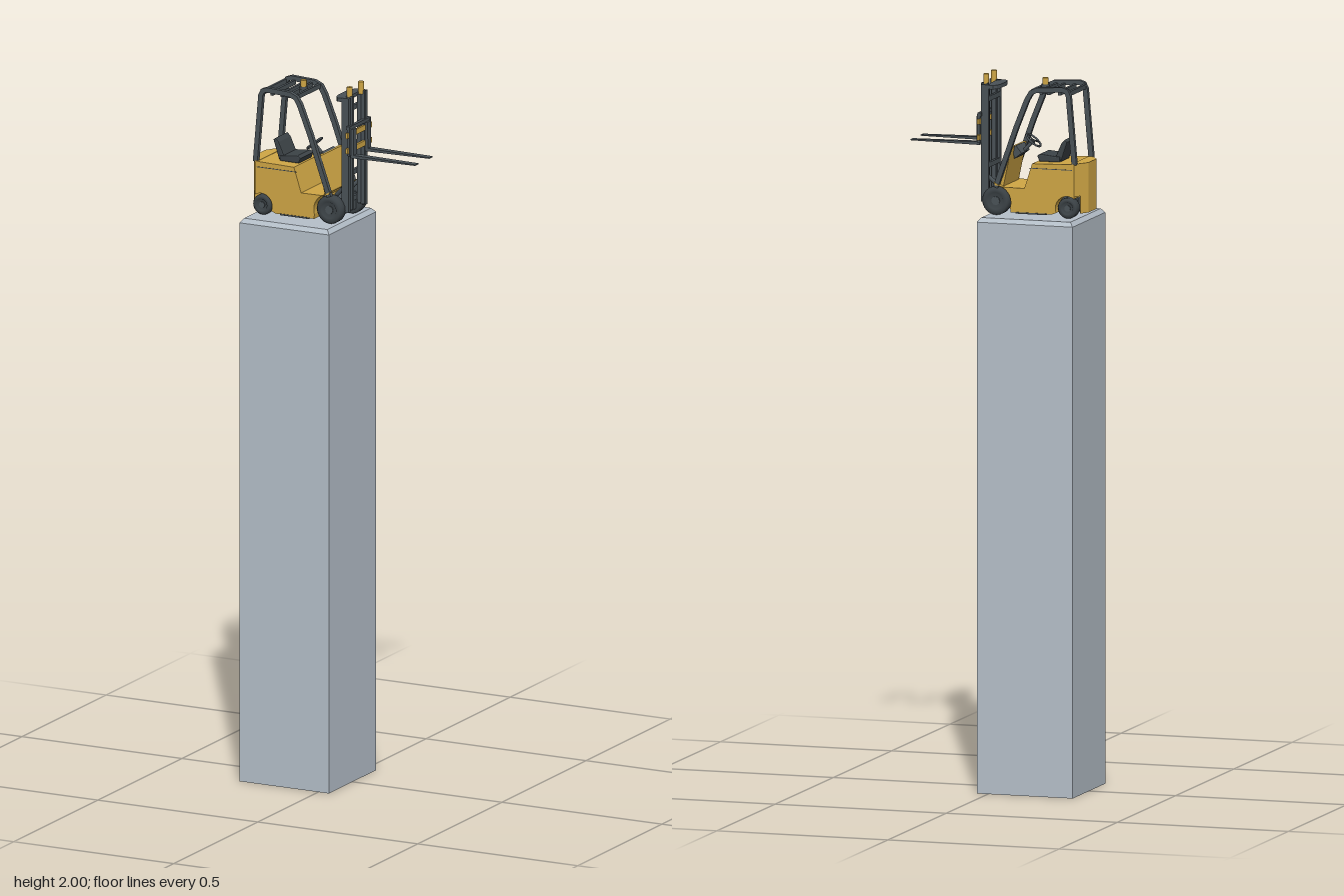
import * as THREE from 'three';

const material = (name, color) => {
  const m = new THREE.MeshStandardMaterial({ color });
  m.name = name;
  return m;
};

export function createModel() {
  const root = new THREE.Group();
  root.name = 'forkliftOnPillar';
  const yellow = material('yellow paint', 0xcfa645);
  const dark = material('dark steel', 0x4a5257);
  const rubber = material('rubber', 0x3c4347);
  const stone = material('pale grey', 0xb5bfc9);
  stone.side = THREE.DoubleSide;

  const add = (name, geometry, mat) => {
    const mesh = new THREE.Mesh(geometry, mat);
    mesh.name = name;
    root.add(mesh);
    return mesh;
  };
  // box from its limits
  const box = (name, mat, x0, x1, y0, y1, z0, z1) => {
    const m = add(name, new THREE.BoxGeometry(x1 - x0, y1 - y0, z1 - z0), mat);
    m.position.set((x0 + x1) / 2, (y0 + y1) / 2, (z0 + z1) / 2);
    return m;
  };
  const shapeOf = pts => new THREE.Shape(pts.map(p => new THREE.Vector2(p[0], p[1])));
  // side profile in x, y extruded from z0 to z1
  const slab = (name, mat, shape, z0, z1, bevel = 0) => {
    const g = new THREE.ExtrudeGeometry(shape, {
      depth: z1 - z0 - 2 * bevel, bevelEnabled: bevel > 0, bevelSize: bevel,
      bevelThickness: bevel, bevelOffset: -bevel, bevelSegments: 2, curveSegments: 10
    });
    g.translate(0, 0, z0 + bevel);
    return add(name, g, mat);
  };
  // plan outline in x, z extruded from y0 to y1
  const plan = (name, mat, pts, y0, y1) => {
    const g = new THREE.ExtrudeGeometry(shapeOf(pts.map(p => [p[0], -p[1]])), { depth: y1 - y0, bevelEnabled: false });
    g.rotateX(-Math.PI / 2);
    g.translate(0, y0, 0);
    return add(name, g, mat);
  };
  // round rod between two points
  const rod = (name, mat, a, b, r, sides = 10) => {
    const p = new THREE.Vector3(...a), q = new THREE.Vector3(...b);
    const m = add(name, new THREE.CylinderGeometry(r, r, p.distanceTo(q), sides), mat);
    m.position.copy(p).add(q).multiplyScalar(0.5);
    m.quaternion.setFromUnitVectors(new THREE.Vector3(0, 1, 0), q.sub(p).normalize());
    return m;
  };
  // flat band of constant width following a path
  const band = (path, width) => {
    const v = path.map(p => new THREE.Vector2(p[0], p[1]));
    const side = s => v.map((p, i) => {
      const t = v[Math.min(i + 1, v.length - 1)].clone().sub(v[Math.max(i - 1, 0)]).normalize();
      return [p.x - t.y * s * width / 2, p.y + t.x * s * width / 2];
    });
    return shapeOf([...side(-1), ...side(1).reverse()]);
  };

  // pillar: hollow shaft, chamfered rim and flat cap
  const px = -0.107, half = 0.14, inset = 0.01;
  const ring = (w, y) => [[-w, -w], [-w, w], [w, w], [w, -w]].map(c => [c[0] + px, y, c[1]]);
  const rings = [ring(half, 0), ring(half, 1.6), ring(half - inset, 1.612)];
  const pos = [];
  const quad = (a, b, c, d) => [a, b, c, a, c, d].forEach(p => pos.push(...p));
  for (let r = 0; r < 2; r++) for (let i = 0; i < 4; i++) {
    const j = (i + 1) % 4;
    quad(rings[r][i], rings[r][j], rings[r + 1][j], rings[r + 1][i]);
  }
  quad(...rings[2]);
  const pillar = new THREE.BufferGeometry();
  pillar.setAttribute('position', new THREE.Float32BufferAttribute(pos, 3));
  pillar.computeVertexNormals();
  add('pillar', pillar, stone);

  // lower body with wheel arches
  const body = new THREE.Shape();
  body.moveTo(-0.23, 1.69);
  body.lineTo(-0.23, 1.67);
  body.absarc(-0.21, 1.641, 0.034, 2.2, -0.4, true);
  body.lineTo(-0.165, 1.622);
  body.lineTo(-0.045, 1.622);
  body.absarc(0, 1.65, 0.046, Math.PI + 0.3, Math.PI / 2, true);
  body.lineTo(0.005, 1.705);
  body.lineTo(-0.02, 1.692);
  slab('lowerBody', yellow, body, -0.08, 0.08);
  box('chassisCore', dark, -0.23, 0.02, 1.63, 1.68, -0.045, 0.045);
  slab('hood', yellow, shapeOf([[-0.23, 1.69], [-0.085, 1.69], [-0.108, 1.762], [-0.23, 1.765]]), -0.08, 0.08);
  plan('counterweight', yellow, [[-0.257, -0.035], [-0.229, -0.08], [-0.222, -0.08], [-0.222, 0.08], [-0.229, 0.08], [-0.257, 0.035]], 1.675, 1.766);
  plan('counterweightBase', yellow, [[-0.257, -0.035], [-0.242, -0.06], [-0.235, -0.042], [-0.235, 0.042], [-0.242, 0.06], [-0.257, 0.035]], 1.626, 1.675);
  for (const s of [-1, 1]) {
    box('hoodSeam', dark, -0.225, -0.1, 1.748, 1.75, s * 0.0803 - 0.0005, s * 0.0803 + 0.0005);
    box('sideStep', dark, -0.15, -0.06, 1.62, 1.624, s * 0.078 - 0.004, s * 0.078 + 0.004);
  }

  // sloping front cowl and dash
  slab('cowl', yellow, shapeOf([[-0.018, 1.685], [0.003, 1.685], [-0.033, 1.8], [-0.042, 1.8]]), -0.066, 0.066);
  slab('dash', dark, shapeOf([[-0.04, 1.765], [-0.038, 1.8], [-0.046, 1.803], [-0.062, 1.782]]), -0.036, 0.036);

  // wheels with hubs
  for (const [name, x, y, r, z] of [['frontWheel', 0, 1.652, 0.04, 0.063], ['rearWheel', -0.21, 1.641, 0.029, 0.063]]) {
    for (const s of [-1, 1]) {
      const w = 0.016;
      const prof = [[0, -w], [r * 0.85, -w], [r, -w * 0.6], [r, w * 0.6], [r * 0.85, w], [r * 0.58, w], [r * 0.5, w * 0.7], [0, w * 0.7]];
      const tyre = new THREE.LatheGeometry(prof.map(p => new THREE.Vector2(...p)), 24);
      tyre.rotateX(s * Math.PI / 2);
      add(name, tyre, rubber).position.set(x, y, s * z);
      rod(name + 'Hub', dark, [x, y, s * (z + 0.005)], [x, y, s * (z + 0.014)], r * 0.3, 12);
    }
  }
  rod('frontAxle', dark, [0, 1.652, -0.05], [0, 1.652, 0.05], 0.012);

  // overhead guard
  const guard = [[-0.23, 1.763], [-0.213, 1.955], [-0.207, 1.968], [-0.195, 1.972], [-0.122, 1.968], [-0.104, 1.96], [-0.092, 1.94], [-0.06, 1.86], [0, 1.69]];
  for (const s of [-1, 1]) slab('guardFrame', dark, band(guard, 0.014), s * 0.0725 - 0.0065, s * 0.0725 + 0.0065);
  for (const x of [-0.212, -0.184, -0.152, -0.13, -0.105]) {
    box('guardCrossbar', dark, x - 0.004, x + 0.004, 1.955, 1.968, -0.068, 0.068);
  }

  // beacon
  rod('beaconBase', dark, [-0.12, 1.965, 0], [-0.12, 1.974, 0], 0.011, 12);
  rod('beacon', yellow, [-0.12, 1.974, 0], [-0.12, 1.992, 0], 0.009, 12);
  box('beaconMount', dark, -0.13, -0.105, 1.96, 1.966, -0.012, 0.012);

  // seat
  slab('seatCushion', rubber, shapeOf([[-0.175, 1.762], [-0.115, 1.762], [-0.108, 1.778], [-0.118, 1.784], [-0.175, 1.778]]), -0.04, 0.04, 0.004);
  slab('seatBack', rubber, shapeOf([[-0.178, 1.765], [-0.16, 1.775], [-0.178, 1.815], [-0.188, 1.826], [-0.196, 1.82]]), -0.037, 0.037, 0.004);

  // steering wheel and column
  const wheelTilt = Math.atan2(0.04, 0.034);
  const steering = new THREE.Group();
  steering.name = 'steeringWheel';
  const rim = new THREE.Mesh(new THREE.TorusGeometry(0.025, 0.003, 8, 24), dark);
  rim.rotation.x = Math.PI / 2;
  steering.add(rim);
  for (let i = 0; i < 3; i++) {
    const spoke = new THREE.Mesh(new THREE.BoxGeometry(0.025, 0.003, 0.004), dark);
    spoke.geometry.translate(0.0125, 0, 0);
    spoke.rotation.y = i * Math.PI * 2 / 3;
    steering.add(spoke);
  }
  steering.position.set(-0.085, 1.815, 0);
  steering.rotation.z = Math.PI / 2 - wheelTilt;
  root.add(steering);
  rod('steeringColumn', dark, [-0.085, 1.813, 0], [-0.045, 1.772, 0], 0.005);
  rod('controlLever', dark, [-0.05, 1.785, 0.025], [-0.07, 1.815, 0.03], 0.0025, 6);

  // mast channels, lift cylinders and braces
  for (const s of [-1, 1]) {
    box('outerMast', dark, 0.028, 0.05, 1.645, 1.972, s * 0.05 - 0.006, s * 0.05 + 0.006);
    box('innerMast', dark, 0.034, 0.054, 1.65, 1.975, s * 0.036 - 0.005, s * 0.036 + 0.005);
    rod('liftCylinder', dark, [0.04, 1.655, s * 0.026], [0.04, 1.965, s * 0.026], 0.006);
    rod('liftCap', yellow, [0.042, 1.965, s * 0.034], [0.042, 2, s * 0.034], 0.008, 12);
    rod('tiltCylinder', dark, [-0.01, 1.675, s * 0.035], [0.032, 1.715, s * 0.045], 0.006);
    // forks
    const z = s * 0.0425;
    slab('fork', dark, shapeOf([[0.055, 1.802], [0.256, 1.805], [0.256, 1.808], [0.064, 1.811], [0.063, 1.885], [0.055, 1.885]]), z - 0.01, z + 0.01);
  }
  plan('mastTopBrace', dark, [[0.036, -0.055], [0.015, -0.055], [0.006, -0.045], [0.002, -0.025], [0.002, 0.025], [0.006, 0.045], [0.015, 0.055], [0.036, 0.055]], 1.96, 1.971);
  for (const y of [1.665, 1.74, 1.925]) box('mastBrace', dark, 0.028, 0.036, y, y + 0.014, -0.05, 0.05);

  // fork carriage
  for (const y of [1.818, 1.862]) box('carriageBar', yellow, 0.049, 0.056, y, y + 0.015, -0.073, 0.073);
  box('carriageRail', dark, 0.047, 0.057, 1.884, 1.894, -0.064, 0.064);
  for (const s of [-1, 1]) box('carriageSide', dark, 0.05, 0.058, 1.81, 1.89, s * 0.06 - 0.004, s * 0.06 + 0.004);

  return root;
}
